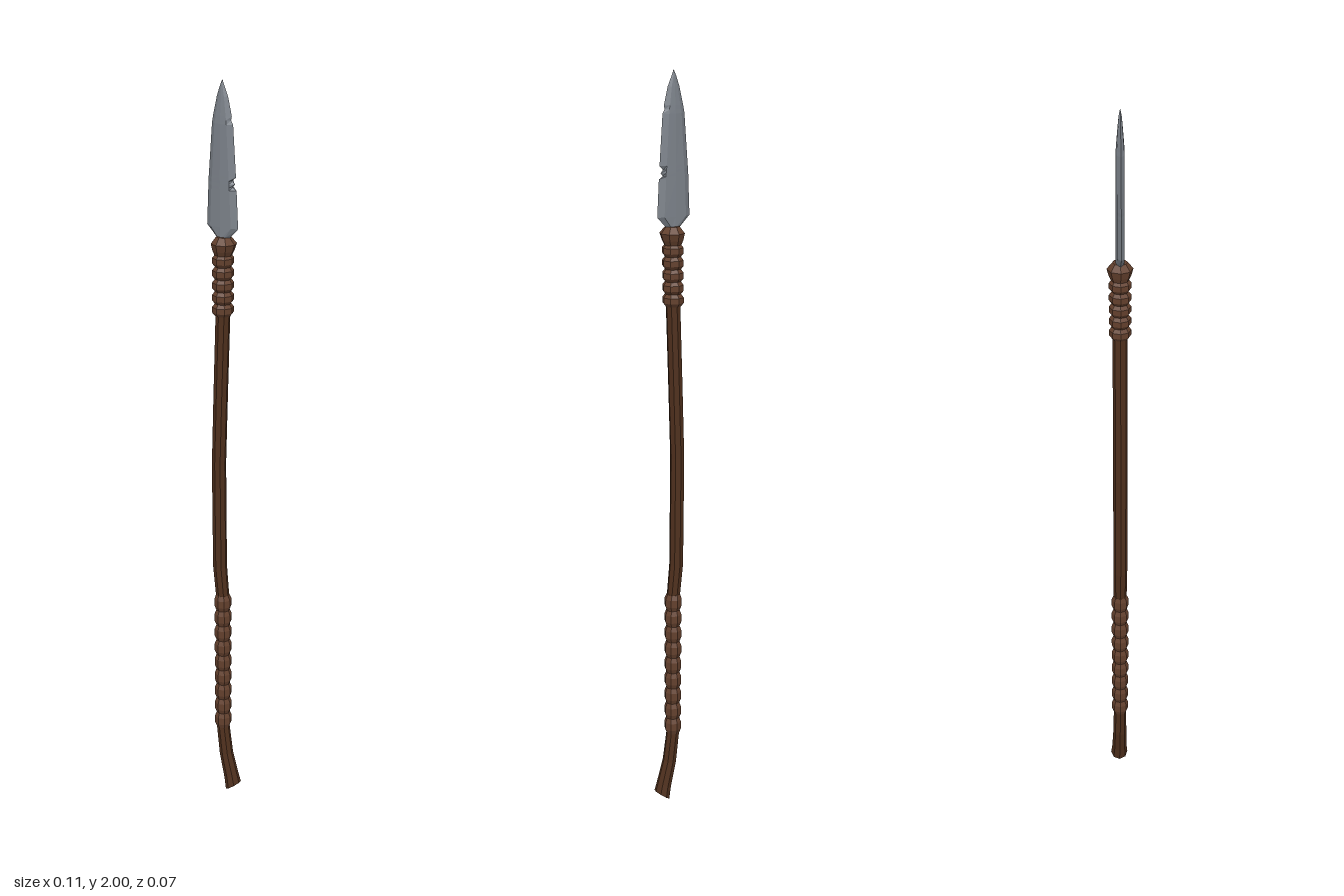
import * as THREE from 'three';

const SIDES = 8;

// Skins a list of equal-length point rings, bottom to top, and caps both ends.
function loft(name, rings, color) {
  const n = rings[0].length, index = [];
  for (let j = 0; j < rings.length - 1; j++) {
    for (let i = 0; i < n; i++) {
      const k = (i + 1) % n;
      const a = j * n + i, b = j * n + k, c = a + n, d = b + n;
      index.push(a, c, b, b, c, d);
    }
  }
  const top = (rings.length - 1) * n;
  for (let i = 1; i < n - 1; i++) {
    index.push(0, i, i + 1);
    index.push(top, top + i + 1, top + i);
  }
  let geometry = new THREE.BufferGeometry();
  geometry.setAttribute('position', new THREE.Float32BufferAttribute(rings.flat(2), 3));
  geometry.setIndex(index);
  geometry = geometry.toNonIndexed();
  geometry.computeVertexNormals();
  const mesh = new THREE.Mesh(geometry, new THREE.MeshStandardMaterial({ color, flatShading: true }));
  mesh.name = name;
  return mesh;
}

// Octagonal ring, optionally tilted about z.
function ring(x, y, r, tilt = 0) {
  return Array.from({ length: SIDES }, (_, i) => {
    const a = (i / SIDES) * Math.PI * 2;
    const u = Math.cos(a) * r;
    return [x + u * Math.cos(tilt), y + u * Math.sin(tilt), Math.sin(a) * r];
  });
}

// Crooked shaft: x, y, radius, tilt
const SHAFT = [
  [0.031, 0.014, 0.024, 0.62],
  [0.024, 0.045, 0.021, 0.4],
  [0.006, 0.115, 0.019, 0.15],
  [-0.005, 0.2, 0.018, 0],
  [-0.006, 0.6, 0.018, 0],
  [-0.016, 0.7, 0.019, 0],
  [-0.019, 1.0, 0.019, 0],
  [-0.013, 1.2, 0.019, 0],
  [-0.006, 1.41, 0.019, 0],
  [-0.005, 1.6, 0.019, 0],
];

// Shaft centre at height y.
function centre(y) {
  const i = Math.max(1, SHAFT.findIndex((s) => s[1] >= y));
  const [x0, y0] = SHAFT[i - 1], [x1, y1] = SHAFT[i];
  return x0 + ((x1 - x0) * (y - y0)) / (y1 - y0);
}

// Cord binding: a stack of rounded turns with grooves between them.
function binding(name, y0, y1, turns, groove, bulge, color) {
  const rings = [], h = (y1 - y0) / turns;
  for (let i = 0; i < turns; i++) {
    for (const [t, r] of [[0, groove], [0.28, bulge], [0.72, bulge]]) {
      const y = y0 + (i + t) * h;
      rings.push(ring(centre(y), y, r));
    }
  }
  rings.push(ring(centre(y1), y1, groove));
  return loft(name, rings, color);
}

// Blade section: sharp edges, bevels and a shallow central ridge.
function bladeSection([y, left, right, t, leftBevel, rightBevel = leftBevel]) {
  const l = left + leftBevel, r = right - rightBevel, mid = (l + r) / 2;
  return [
    [right, y, 0], [r, y, t], [mid, y, t * 1.2], [l, y, t],
    [left, y, 0], [l, y, -t], [mid, y, -t * 1.2], [r, y, -t],
  ];
}

export function createModel() {
  const group = new THREE.Group();
  group.name = 'spear';
  const wood = 0x4f301d, cord = 0x63402d, steel = 0x7d838b;

  group.add(loft('shaft', SHAFT.map((s) => ring(...s)), wood));
  group.add(binding('gripBinding', 0.2, 0.615, 9, 0.0185, 0.0235, cord));
  group.add(binding('neckBinding', 1.41, 1.57, 5, 0.021, 0.028, cord));

  // Flared collar that holds the blade
  group.add(loft('collar', [
    ring(-0.005, 1.565, 0.021),
    ring(-0.004, 1.58, 0.028),
    ring(-0.003, 1.598, 0.033),
    ring(-0.004, 1.615, 0.019),
  ], cord));

  // Blade: y, left edge, right edge, half thickness, bevels (chipped on its left edge)
  group.add(loft('blade', [
    [1.59, -0.022, 0.011, 0.009, 0.008],
    [1.612, -0.026, 0.014, 0.009, 0.01],
    [1.64, -0.055, 0.041, 0.009, 0.016],
    [1.735, -0.051, 0.036, 0.009, 0.016],
    [1.742, -0.051, 0.024, 0.009, 0.016, 0.004],
    [1.75, -0.05, 0.031, 0.009, 0.016, 0.011],
    [1.758, -0.05, 0.023, 0.009, 0.016, 0.004],
    [1.768, -0.049, 0.034, 0.009, 0.016],
    [1.895, -0.039, 0.025, 0.009, 0.014],
    [1.905, -0.037, 0.019, 0.0085, 0.014, 0.009],
    [1.915, -0.035, 0.021, 0.008, 0.013],
    [1.96, -0.024, 0.01, 0.005, 0.009],
    [1.985, -0.015, -0.001, 0.003, 0.004],
    [2.0, -0.008, -0.007, 0.0005, 0.0003],
  ].map(bladeSection), steel));

  return group;
}
